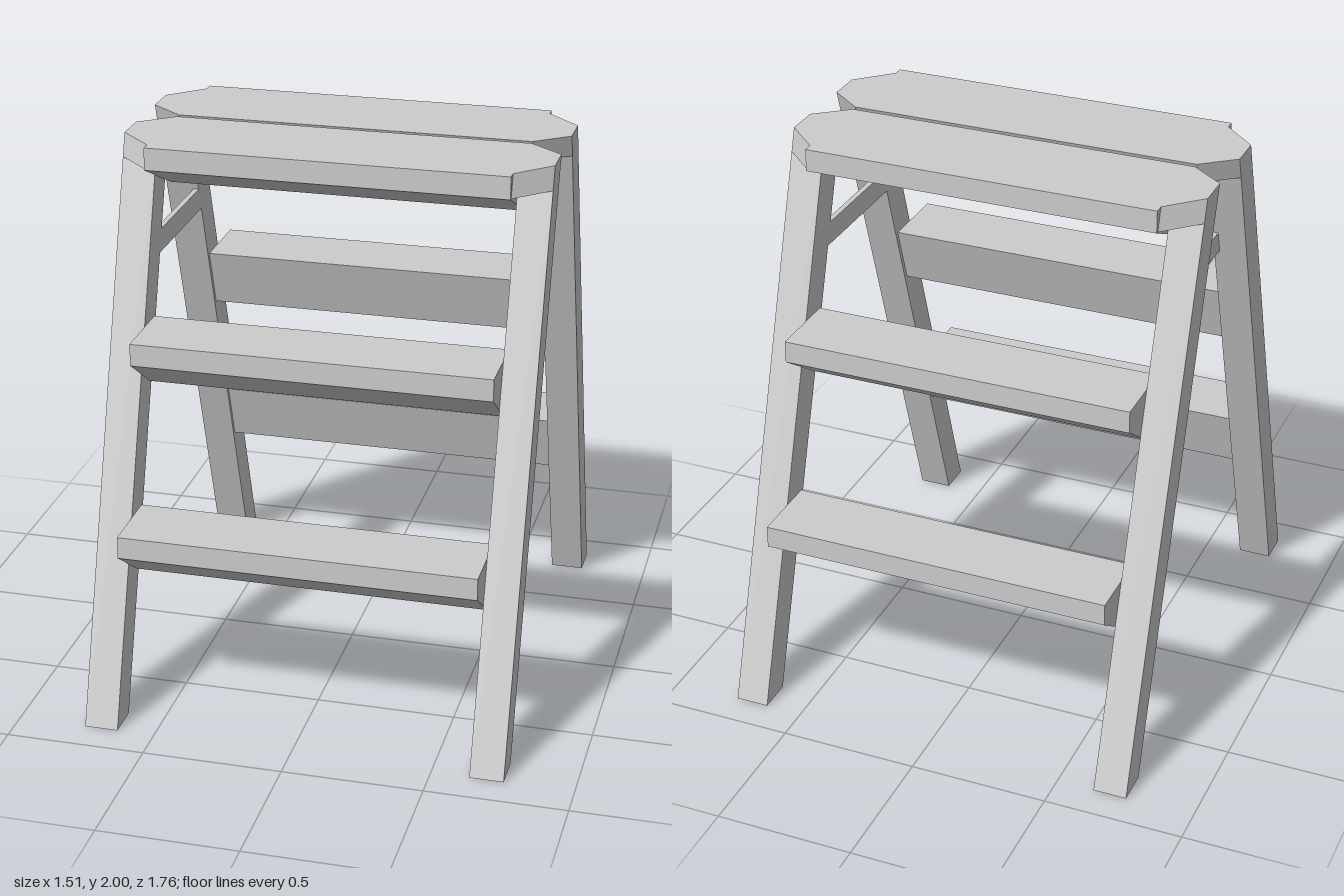
import * as THREE from 'three';

const material = new THREE.MeshStandardMaterial({ color: 0xcccccc, flatShading: true });
const LEAN = 0.325;            // how far a leg leans in z per unit of height
const IN = 0.635, OUT = 0.755; // inner and outer faces of the legs in x
const PLANK = 0.08;            // thickness of the top plate

function mesh(name, geometry) {
  const m = new THREE.Mesh(geometry, material);
  m.name = name;
  return m;
}

const toShape = (points) => new THREE.Shape(points.map(([a, b]) => new THREE.Vector2(a, b)));

// Side profile of [z, y] points, extruded from x0 to x1
function profileAlongX(points, x0, x1) {
  const g = new THREE.ExtrudeGeometry(toShape(points), { depth: x1 - x0, bevelEnabled: false });
  return g.rotateY(-Math.PI / 2).translate(x1, 0, 0);
}

// Chamfered end of the top plate, leaning with the leg it caps
function topEnd(side) {
  const plan = [[IN, 0.01], [OUT, 0.105], [OUT, 0.23], [IN, 0.347]].map(([x, z]) => [side * x, z]);
  const g = new THREE.ExtrudeGeometry(toShape(plan), { depth: PLANK, bevelEnabled: false });
  g.rotateX(Math.PI / 2).translate(0, 2, 0);
  const p = g.attributes.position;
  for (let i = 0; i < p.count; i++) p.setZ(i, p.getZ(i) + LEAN * (2 - p.getY(i)));
  g.computeVertexNormals();
  return g;
}

// One leaning ladder half: legs, steps and top plate
function ladderHalf(name) {
  const half = new THREE.Group();
  half.name = name;

  const top = 2 - PLANK;
  const leg = [[0.88, 0], [0.755, 0], [0.755 - LEAN * top, top], [0.88 - LEAN * top, top]];
  for (const side of [-1, 1]) {
    const x = side > 0 ? IN : -OUT;
    half.add(mesh(side > 0 ? 'leftLeg' : 'rightLeg', profileAlongX(leg, x, x + OUT - IN)));
    half.add(mesh('topPlateEnd', topEnd(side)));
  }

  const steps = {
    lowerStep: [[0.803, 0.725], [0.803, 0.645], [0.607, 0.507], [0.535, 0.725]],
    middleStep: [[0.6, 1.365], [0.6, 1.285], [0.4, 1.147], [0.328, 1.365]],
    topPlate: [[0.383, 2], [0.383, 1.92], [0.1, 1.787], [0.01, 2]],
  };
  for (const [stepName, profile] of Object.entries(steps)) {
    half.add(mesh(stepName, profileAlongX(profile, -IN, IN)));
  }
  return half;
}

export function createModel() {
  const model = new THREE.Group();
  model.name = 'doubleStepLadder';

  const front = ladderHalf('frontLadder');
  const back = ladderHalf('backLadder');
  back.rotation.y = Math.PI;
  model.add(front, back);

  // Thin horizontal braces joining the two halves
  const brace = [[-0.245, 1.572], [0.245, 1.572], [0.219, 1.654], [-0.219, 1.654]];
  for (const side of [-1, 1]) {
    const x = side > 0 ? IN : -IN - 0.02;
    model.add(mesh(side > 0 ? 'leftBrace' : 'rightBrace', profileAlongX(brace, x, x + 0.02)));
  }
  return model;
}
